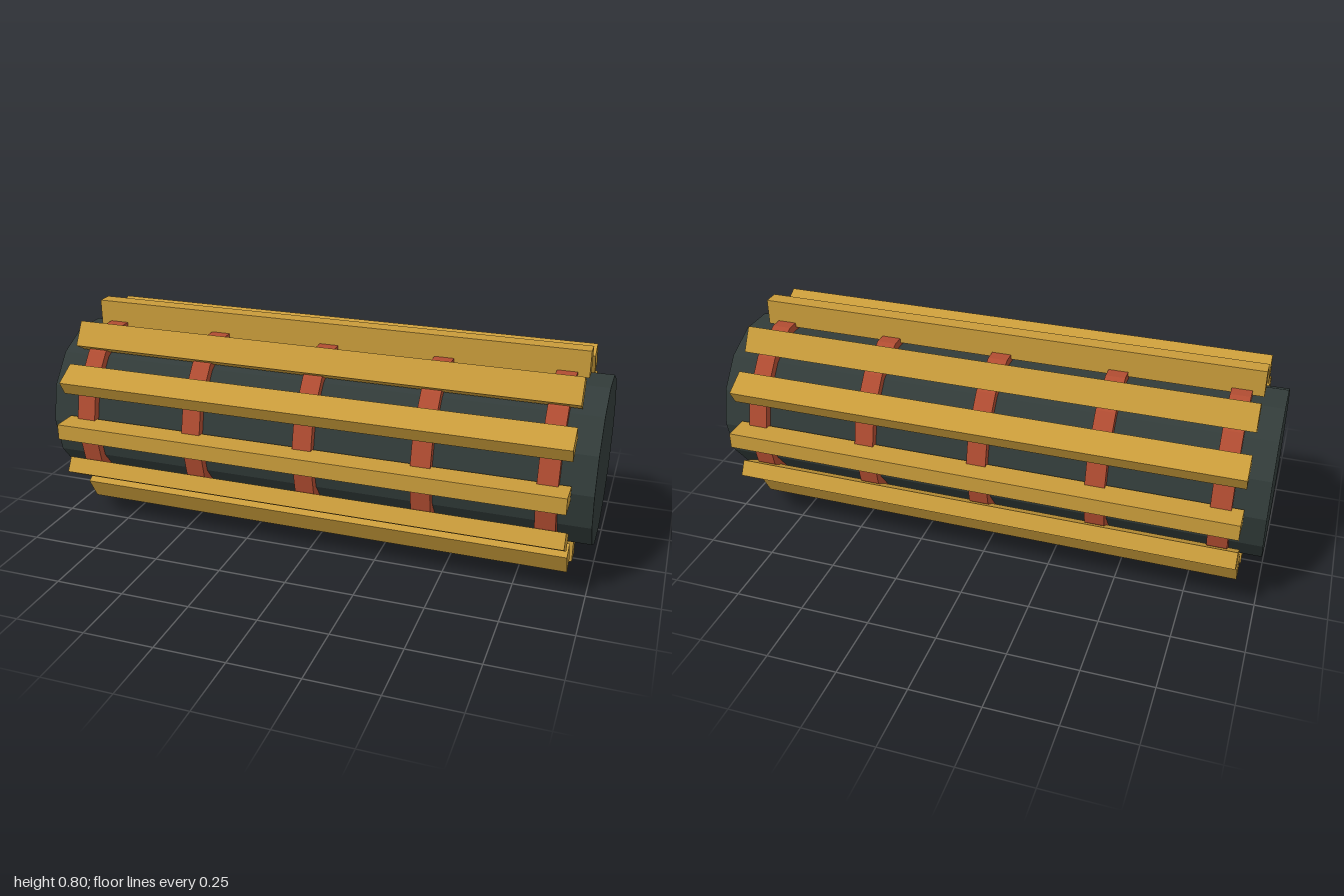
import * as THREE from 'three';

const SIDES = 14;
const AXIS_Y = 0.4;

function material(name, color) {
  const m = new THREE.MeshStandardMaterial({ color, flatShading: true });
  m.name = name;
  return m;
}

export function createModel() {
  const model = new THREE.Group();
  model.name = 'slattedRoller';
  const charcoal = material('charcoal', 0x313b39);
  const rust = material('rustRed', 0xb04c31);
  const gold = material('goldenWood', 0xc89b3a);

  const add = (geometry, mat, name, x, y, z) => {
    const mesh = new THREE.Mesh(geometry, mat);
    mesh.name = name;
    mesh.position.set(x, y, z);
    model.add(mesh);
    return mesh;
  };

  // Faceted cylinder lying along x, with corners pointing to front and back
  const lyingCylinder = (radius, length) =>
    new THREE.CylinderGeometry(radius, radius, length, SIDES).rotateZ(Math.PI / 2);

  // Core drum
  add(lyingCylinder(0.3, 2), charcoal, 'drum', 0, AXIS_Y, 0);

  // Hoops around the drum
  const hoop = lyingCylinder(0.33, 0.07);
  for (let i = -2; i <= 2; i++) add(hoop, rust, 'hoop', i * 0.425, AXIS_Y, 0);

  // Twelve long slats; each tilts against its place on the circle
  const slat = new THREE.BoxGeometry(1.85, 0.095, 0.058);
  const r = 0.3525;
  for (let i = 0; i < 12; i++) {
    const a = (i / 12) * Math.PI * 2;
    const mesh = add(slat, gold, 'slat', 0, AXIS_Y + r * Math.cos(a), r * Math.sin(a));
    mesh.rotation.x = -a;
  }
  return model;
}
